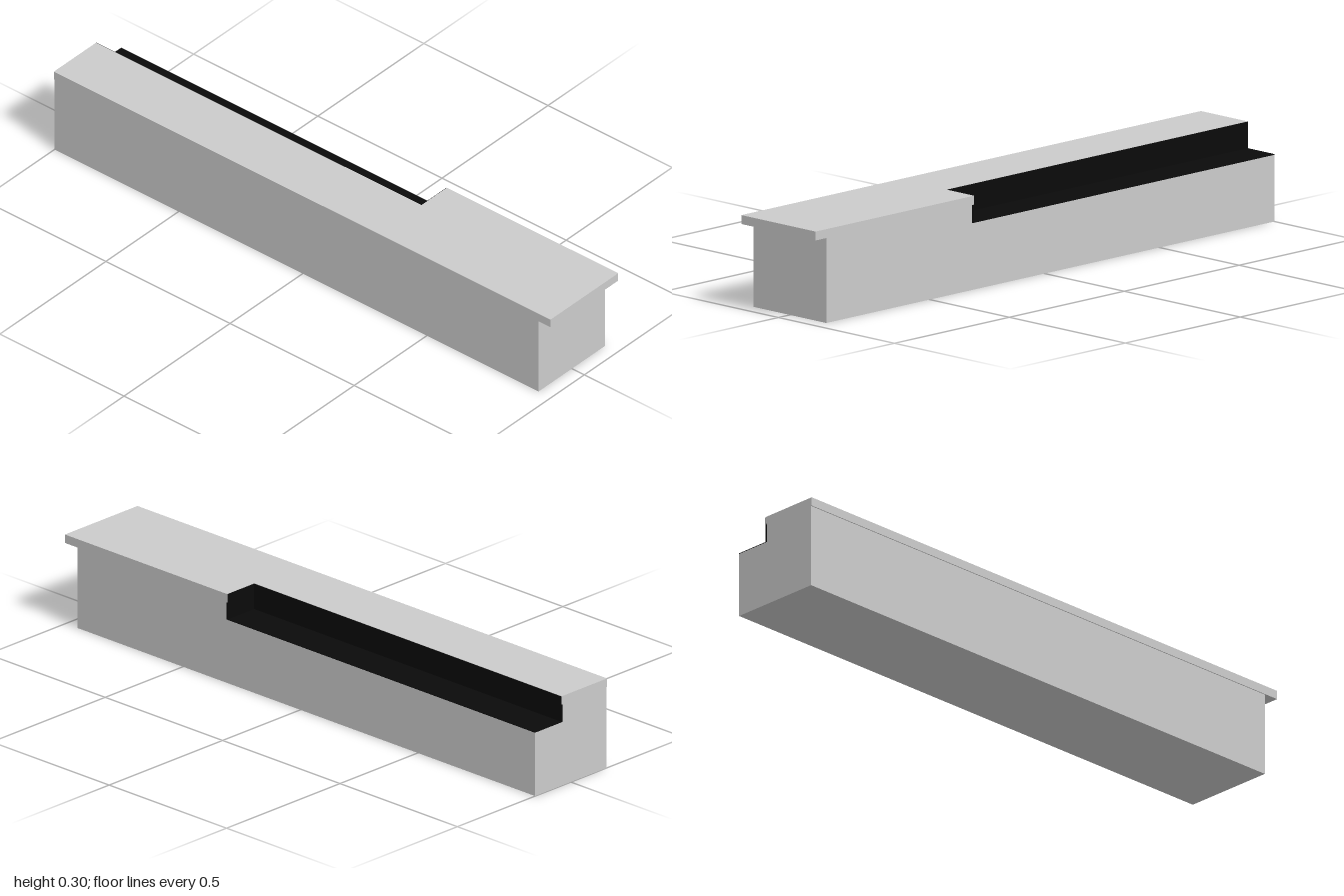
import * as THREE from 'three';

const grey = new THREE.MeshStandardMaterial({ color: 0xcccccc });
const black = new THREE.MeshStandardMaterial({ color: 0x0a0a0a });

const LEFT = -1, STEP_X = 0.31, SHELF_Y = 0.21, BODY_Y = 0.268, TOP_Y = 0.296;

// L-shaped plan (x, z) with the rear corner cut away, extruded from y0 to y1
function notchedBlock(name, y0, y1, right, depth, stepX, stepZ) {
  const plan = [
    [LEFT, depth], [LEFT, stepZ], [stepX, stepZ],
    [stepX, -depth], [right, -depth], [right, depth],
  ].map(([x, z]) => new THREE.Vector2(x, -z));
  const geometry = new THREE.ExtrudeGeometry(new THREE.Shape(plan), { depth: y1 - y0, bevelEnabled: false });
  geometry.rotateX(-Math.PI / 2);
  geometry.translate(0, y0, 0);
  const mesh = new THREE.Mesh(geometry, grey);
  mesh.name = name;
  return mesh;
}

function box(name, material, x0, x1, y0, y1, z0, z1) {
  const mesh = new THREE.Mesh(new THREE.BoxGeometry(x1 - x0, y1 - y0, z1 - z0), material);
  mesh.position.set((x0 + x1) / 2, (y0 + y1) / 2, (z0 + z1) / 2);
  mesh.name = name;
  return mesh;
}

export function createModel() {
  const model = new THREE.Group();
  model.name = 'counter';

  // Counter body: full base, then the raised part around the rear shelf
  model.add(box('counterBase', grey, LEFT, 0.95, 0, SHELF_Y, -0.157, 0.157));
  model.add(notchedBlock('counterUpper', SHELF_Y, BODY_Y, 0.95, 0.157, STEP_X + 0.005, -0.035));

  // Worktop, overhanging at the left end
  model.add(notchedBlock('worktop', BODY_Y, TOP_Y, 1, 0.16, STEP_X, -0.04));

  // Dark lining of the rear shelf: floor, long wall and end wall
  const lining = new THREE.Group();
  lining.name = 'shelfLining';
  lining.add(box('shelfFloor', black, LEFT, STEP_X + 0.004, SHELF_Y, SHELF_Y + 0.002, -0.158, -0.036));
  lining.add(box('shelfBackWall', black, LEFT, STEP_X, SHELF_Y, TOP_Y - 0.001, -0.042, -0.036));
  lining.add(box('shelfEndWall', black, STEP_X - 0.002, STEP_X + 0.004, SHELF_Y, TOP_Y - 0.001, -0.158, -0.036));
  model.add(lining);

  return model;
}
